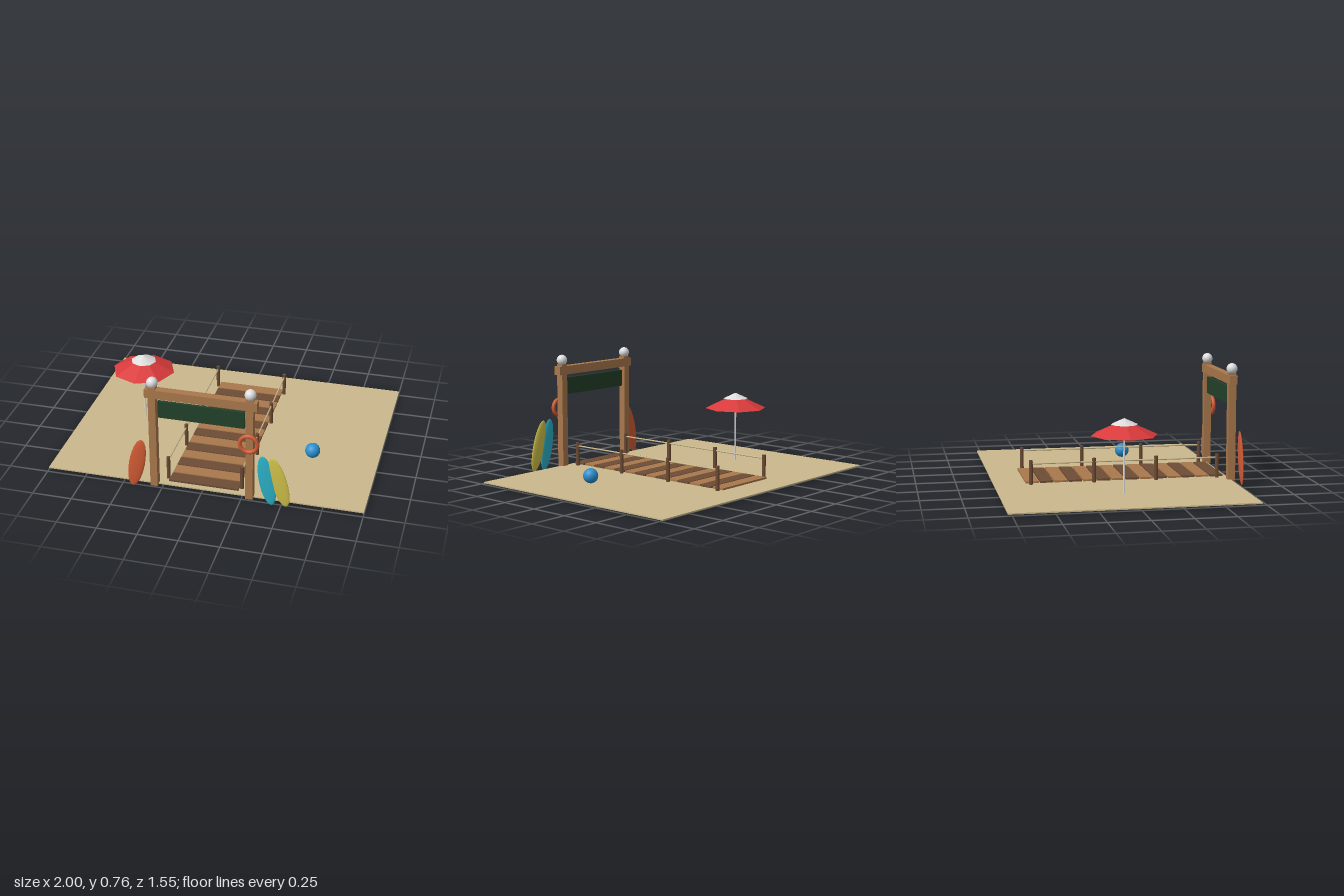
import * as THREE from 'three';

const mat = (name, color, flatShading = false) => {
  const m = new THREE.MeshStandardMaterial({ color, flatShading });
  m.name = name;
  return m;
};

export function createModel() {
  const sand = mat('sand', 0xcbb98c);
  const wood = mat('light wood', 0xa9784c);
  const darkWood = mat('dark wood', 0x6d4c35);
  const green = mat('sign green', 0x23402a);
  const red = mat('canopy red', 0xd93a3c, true);
  const white = mat('white', 0xdedede);
  const orange = mat('orange', 0xd05a34);
  const teal = mat('teal', 0x2bb0c6);
  const yellow = mat('yellow', 0xd0c04a);
  const blue = mat('ball blue', 0x2b90cf);

  const model = new THREE.Group();
  model.name = 'beachEntrance';
  const add = (parent, name, geometry, material, x, y, z) => {
    const mesh = new THREE.Mesh(geometry, material);
    mesh.name = name;
    mesh.position.set(x, y, z);
    parent.add(mesh);
    return mesh;
  };
  const group = (name) => {
    const g = new THREE.Group();
    g.name = name;
    model.add(g);
    return g;
  };
  const box = (w, h, d) => new THREE.BoxGeometry(w, h, d);
  const rod = (r, h, n = 8) => new THREE.CylinderGeometry(r, r, h, n);

  const floor = 0.009;
  add(model, 'sandGround', box(2, 0.008, 1.5), sand, 0, floor + 0.004, -0.025);

  // Boardwalk of alternating planks
  const walk = group('boardwalk');
  for (let i = 0; i < 14; i++) {
    add(walk, 'plank', box(0.44, 0.012, 0.083), i % 2 ? darkWood : wood, 0, 0.027, -0.535 + i * 0.0915);
  }

  // Railings on both sides
  for (const side of [-1, 1]) {
    const railing = group(side > 0 ? 'leftRailing' : 'rightRailing');
    for (let i = 0; i < 4; i++) {
      add(railing, 'railPost', rod(0.012, 0.162), darkWood, side * 0.234, floor + 0.081, -0.545 + i * 0.4);
    }
    add(railing, 'rail', rod(0.005, 1.2), sand, side * 0.234, 0.148, 0.055).rotation.x = Math.PI / 2;
  }

  // Entrance gate
  const gate = group('gate');
  for (const x of [-0.3, 0.3]) {
    add(gate, 'gatePost', box(0.046, 0.69, 0.048), wood, x, floor + 0.345, 0.727);
    add(gate, 'postBall', new THREE.SphereGeometry(0.035, 16, 12), white, x, 0.725, 0.727);
  }
  add(gate, 'crossbeam', box(0.69, 0.056, 0.05), wood, 0, 0.657, 0.727);
  add(gate, 'signBoard', box(0.533, 0.11, 0.02), green, 0, 0.55, 0.727);
  add(gate, 'lifeRing', new THREE.TorusGeometry(0.054, 0.0125, 10, 28), orange, 0.298, 0.407, 0.76);

  // Leaning surfboards
  const boardShape = new THREE.SphereGeometry(1, 20, 14);
  const boards = [
    ['orangeSurfboard', orange, -0.401, -0.2],
    ['tealSurfboard', teal, 0.413, 0.18],
    ['yellowSurfboard', yellow, 0.487, 0.28],
  ];
  for (const [name, material, x, tilt] of boards) {
    const board = add(model, name, boardShape, material, x, 0.169, 0.763);
    board.scale.set(0.05, 0.171, 0.011);
    board.rotation.z = tilt;
  }

  // Parasol with a small vented top
  const parasol = group('parasol');
  parasol.position.set(-0.6, 0, -0.025);
  add(parasol, 'pole', rod(0.006, 0.44), white, 0, floor + 0.22, 0);
  add(parasol, 'canopy', new THREE.ConeGeometry(0.205, 0.095, 8), red, 0, 0.4235, 0);
  add(parasol, 'canopyTop', new THREE.ConeGeometry(0.083, 0.038, 8), white, 0, 0.46, 0);

  add(model, 'beachBall', new THREE.SphereGeometry(0.048, 20, 14), blue, 0.582, 0.064, 0.195);

  return model;
}
